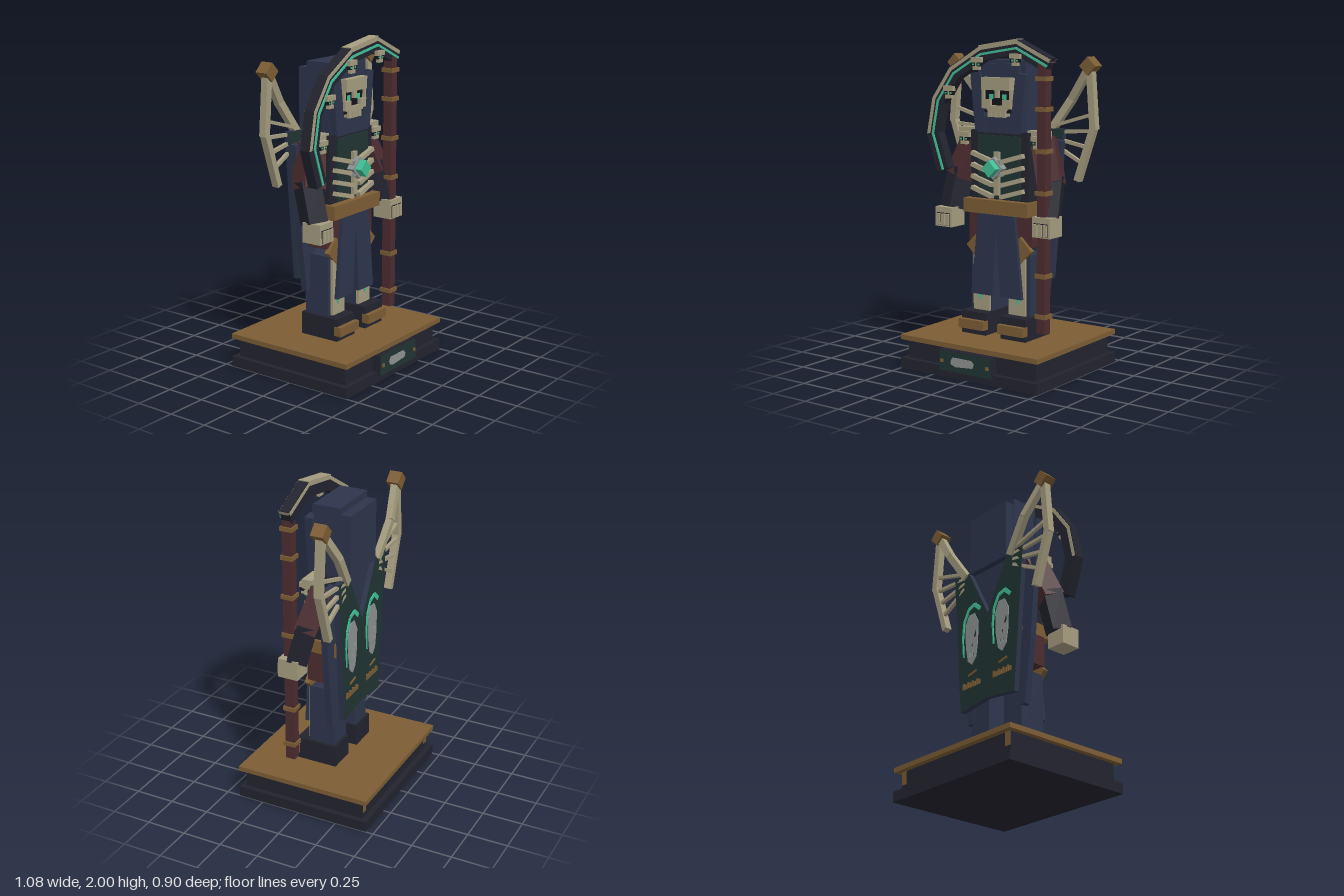
import * as THREE from 'three';

const mat = (name, color) => {
  const m = new THREE.MeshStandardMaterial({ color });
  m.name = name;
  return m;
};

export function createModel() {
  const navy = mat('navy cloth', 0x2d354c), dark = mat('dark metal', 0x23232f), green = mat('dark green cloth', 0x1f3432);
  const gold = mat('old gold', 0x7c5d34), bone = mat('bone', 0xa59d80), maroon = mat('maroon leather', 0x4c2c2f);
  const teal = mat('glowing teal', 0x40c096), grey = mat('pale grey', 0x8d9391), black = mat('black', 0x14151a);
  const root = new THREE.Group();
  root.name = 'reaperStatue';

  const add = (name, geo, material, parent = root) => {
    const m = new THREE.Mesh(geo, material);
    m.name = name;
    parent.add(m);
    return m;
  };
  // Box given by its limits on each axis
  const box = (name, material, x0, x1, y0, y1, z0, z1, parent = root) => {
    const m = add(name, new THREE.BoxGeometry(x1 - x0, y1 - y0, z1 - z0), material, parent);
    m.position.set((x0 + x1) / 2, (y0 + y1) / 2, (z0 + z1) / 2);
    return m;
  };
  // Square bar between two points
  const bar = (name, material, a, b, w, d, parent = root) => {
    const A = new THREE.Vector3(...a), B = new THREE.Vector3(...b), dir = B.clone().sub(A);
    const m = add(name, new THREE.BoxGeometry(w, dir.length(), d), material, parent);
    m.position.copy(A).add(B).multiplyScalar(0.5);
    m.quaternion.setFromUnitVectors(new THREE.Vector3(0, 1, 0), dir.normalize());
    return m;
  };
  // Flat panel cut from an outline, from z0 to z1
  const panel = (name, material, pts, z0, z1, parent = root, holes = []) => {
    const shape = new THREE.Shape(pts.map(p => new THREE.Vector2(...p)));
    holes.forEach(([x, y, rx, ry]) => shape.holes.push(new THREE.Path().absellipse(x, y, rx, ry, 0, Math.PI * 2)));
    const m = add(name, new THREE.ExtrudeGeometry(shape, { depth: z1 - z0, bevelEnabled: false, curveSegments: 8 }), material, parent);
    m.position.z = z0;
    return m;
  };
  // Small skull ornament facing the front
  const miniSkull = (name, x, y, z, w) => {
    const g = new THREE.Group();
    g.name = name;
    box('cranium', bone, -w / 2, w / 2, w * 0.1, w * 0.5, 0, 0.025, g);
    box('sockets', black, -w * 0.45, w * 0.45, -w * 0.2, w * 0.1, 0, 0.02, g);
    box('jaw', bone, -w * 0.3, w * 0.3, -w * 0.5, -w * 0.2, 0, 0.022, g);
    box('nose', bone, -w * 0.07, w * 0.07, -w * 0.2, w * 0.1, 0.001, 0.023, g);
    for (const s of [-1, 1]) box('eye', teal, s * w * 0.25 - w * 0.08, s * w * 0.25 + w * 0.08, -w * 0.12, w * 0.02, 0.015, 0.024, g);
    g.position.set(x, y, z);
    root.add(g);
  };

  // Plinth
  box('plinthFoot', dark, -0.5, 0.5, 0, 0.065, -0.45, 0.415);
  box('plinthBody', dark, -0.467, 0.467, 0.065, 0.18, -0.415, 0.38);
  box('plinthTop', gold, -0.5, 0.5, 0.18, 0.21, -0.45, 0.415);
  box('plaqueBacking', dark, -0.19, 0.19, 0.042, 0.17, 0.38, 0.432);
  box('plaque', green, -0.185, 0.185, 0.046, 0.166, 0.43, 0.437);
  for (const s of [-1, 1]) {
    box('plaqueStud', gold, s * 0.165 - 0.009, s * 0.165 + 0.009, 0.097, 0.115, 0.43, 0.446);
    box('cornerPost', gold, s * 0.445 - 0.02, s * 0.445 + 0.02, 0.1, 0.18, -0.417, -0.38);
  }
  panel('plaqueEmblem', grey, [[-0.1, 0.11], [-0.085, 0.135], [0.05, 0.135], [0.07, 0.115], [0.06, 0.09], [-0.06, 0.08], [-0.095, 0.09]], 0.436, 0.441);

  for (const s of [-1, 1]) {
    const b = (name, m, x0, x1, ...r) => box(name, m, Math.min(s * x0, s * x1), Math.max(s * x0, s * x1), ...r);
    // Boots and legs
    b('boot', dark, 0.055, 0.235, 0.21, 0.348, -0.115, 0.15);
    b('bootToe', gold, 0.052, 0.238, 0.245, 0.302, 0.13, 0.18);
    b('leg', navy, 0.065, 0.215, 0.348, 0.72, -0.1, 0.07);
    b('shin', bone, 0.072, 0.19, 0.35, 0.715, 0.07, 0.087);
    panel('shinRune', teal, [[s * 0.12, 0.455], [s * 0.155, 0.455], [s * 0.14, 0.41]].sort((p, q) => p[0] - q[0]), 0.086, 0.091);
    // Hip guards
    b('hipGuard', maroon, 0.1, 0.232, 0.77, 0.96, -0.065, 0.07);
    const d = b('hipDiamond', gold, 0.1, 0.215, 0.69, 0.805, 0.06, 0.092);
    d.rotation.z = Math.PI / 4;
    // Front skirt half and side robe
    panel('skirt', navy, [[0, 1], [s * 0.125, 1.02], [s * 0.185, 0.455], [s * 0.03, 0.455], [0, 0.87]], 0.095, 0.118);
    panel('sideRobe', navy, [[s * 0.16, 1.42], [s * 0.345, 1.4], [s * 0.3, 0.88], [s * 0.248, 0.49], [s * 0.2, 0.49], [s * 0.13, 1]], -0.105, -0.065);

    // Arms
    bar('upperArm', maroon, [s * 0.245, 1.4, -0.04], [s * 0.335, 1.15, 0.025], 0.13, 0.145);
    bar('forearm', dark, [s * 0.338, 1.2, 0.01], [s * 0.352, 0.96, 0.075], 0.122, 0.12);
    b('hand', bone, 0.295, 0.42, 0.855, 0.975, 0.04, 0.168);
    for (let i = -1; i <= 1; i++) {
      const x = 0.355 + i * 0.034;
      b('finger', bone, x - 0.012, x + 0.012, 0.865, 0.935, 0.16, 0.182);
      b('knuckleGap', dark, x - 0.015, x + 0.015, 0.862, 0.94, 0.165, 0.17);
    }
    b('shoulderPad', bone, 0.185, 0.318, 1.405, 1.462, -0.005, 0.058);
    miniSkull('shoulderSkull', s * 0.265, 1.395, 0.06, 0.075);

    // Ribs
    for (let i = 0; i < 4; i++) {
      const y = 1.28 - i * 0.07;
      bar('rib', bone, [s * 0.03, y - 0.01, 0.11], [s * 0.185, y + 0.035, 0.1], 0.026, 0.035);
    }

    // Hood flap
    panel('hoodFlap', navy, [[s * 0.2, 1.79], [s * 0.165, 1.45], [s * 0.085, 1.45], [s * 0.13, 1.8]], 0.05, 0.1);

    // Wing of bones with a gold tip
    const wing = new THREE.Group();
    wing.name = s > 0 ? 'leftWing' : 'rightWing';
    root.add(wing);
    const tip = [s * 0.485, 1.84, -0.155], bend = [s * 0.515, 1.47, -0.155], low = [s * 0.405, 1.16, -0.155], hub = [s * 0.2, 1.44, -0.17];
    bar('wingOuter', bone, tip, bend, 0.042, 0.045, wing);
    bar('wingLower', bone, [bend[0], 1.49, -0.155], low, 0.038, 0.045, wing);
    const mid = [s * 0.34, 1.64, -0.188];
    bar('wingArm', bone, hub, mid, 0.046, 0.04, wing);
    bar('wingArm', bone, mid, tip, 0.046, 0.04, wing);
    for (const [x, y] of [[0.505, 1.56], [0.512, 1.46], [0.475, 1.36], [0.44, 1.26]])
      bar('wingRib', bone, [s * 0.22, 1.42 + (y - 1.4) * 0.35, -0.165], [s * x, y, -0.16], 0.02, 0.022, wing);
    const cube = add('wingTip', new THREE.BoxGeometry(0.078, 0.078, 0.078), gold, wing);
    cube.position.set(...tip);
    cube.rotation.z = Math.PI / 4;
  }

  // Torso and belt
  box('torso', dark, -0.21, 0.21, 1.0, 1.45, -0.13, 0.08);
  box('chestPanel', green, -0.148, 0.155, 1.05, 1.425, 0.08, 0.094);
  box('backPanel', navy, -0.19, 0.19, 1.03, 1.46, -0.138, -0.125);
  box('belt', gold, -0.232, 0.232, 0.955, 1.04, -0.136, 0.13);
  box('sternum', bone, -0.018, 0.018, 1.07, 1.33, 0.09, 0.115);
  for (const a of [0, Math.PI / 4]) {
    const f = box('gemFrame', grey, -0.048, 0.048, 1.187, 1.283, 0.1, 0.14 + a * 0.01);
    f.rotation.z = a;
  }
  const gem = box('chestGem', teal, -0.036, 0.036, 1.199, 1.271, 0.12, 0.193);
  gem.rotation.z = Math.PI / 4;

  // Hood
  box('hood', navy, -0.172, 0.172, 1.43, 1.87, -0.115, 0.06);
  box('hoodBack', navy, -0.165, 0.165, 1.45, 1.83, -0.178, -0.11);
  box('hoodBrow', navy, -0.14, 0.14, 1.77, 1.85, 0.05, 0.082);
  box('hoodCollar', navy, -0.15, 0.15, 1.44, 1.54, 0.05, 0.095);

  // Skull face
  box('faceShadow', black, -0.098, 0.098, 1.56, 1.76, 0.05, 0.095);
  box('forehead', bone, -0.1, 0.1, 1.695, 1.77, 0.06, 0.125);
  box('noseBridge', bone, -0.014, 0.014, 1.65, 1.7, 0.06, 0.112);
  box('upperJaw', bone, -0.07, 0.07, 1.575, 1.605, 0.06, 0.115);
  for (const s of [-1, 1]) {
    box('cheek', bone, s * 0.075 - 0.03, s * 0.075 + 0.03, 1.585, 1.64, 0.06, 0.115);
    box('temple', bone, s * 0.1 - 0.008, s * 0.1 + 0.008, 1.6, 1.7, 0.06, 0.11);
    box('eye', teal, s * 0.047 - 0.015, s * 0.047 + 0.015, 1.64, 1.67, 0.09, 0.1);
  }
  for (let i = 0; i < 4; i++) box('tooth', bone, -0.063 + i * 0.033, -0.036 + i * 0.033, 1.535, 1.58, 0.06, 0.112);

  // Split cape: green faces, navy edges
  panel('cape', [green, navy], [[-0.31, 1.465], [-0.235, 0.55], [0, 0.58], [0.235, 0.55], [0.31, 1.465], [0.175, 1.46], [0, 1.13], [-0.175, 1.46]], -0.175, -0.142);
  for (const x of [-0.135, 0.135]) {
    const g = new THREE.Group();
    g.name = 'capeEmblem';
    g.position.set(x, 1.0, 0);
    root.add(g);
    panel('capeSkull', grey, [[-0.055, 0.1], [-0.02, 0.165], [0.03, 0.165], [0.06, 0.1], [0.055, -0.04], [0.035, -0.14], [0, -0.17], [-0.035, -0.13], [-0.05, -0.04]],
      -0.181, -0.174, g, [[-0.025, 0.03, 0.015, 0.03], [0.028, 0.03, 0.015, 0.03], [0, -0.04, 0.008, 0.018], [-0.012, -0.1, 0.005, 0.02], [0.014, -0.1, 0.005, 0.02]]);
    const arc = [[-0.07, 0.18], [-0.02, 0.225], [0.035, 0.205], [0.075, 0.13], [0.085, 0.02], [0.075, -0.1]];
    for (let i = 0; i < arc.length - 1; i++)
      bar('capeScythe', teal, [...arc[i], -0.178], [...arc[i + 1], -0.178], 0.026 - i * 0.004, 0.007, g);
    bar('capeStitch', gold, [-0.04, -0.22, -0.178], [0.03, -0.235, -0.178], 0.012, 0.007, g);
    for (let i = 0; i < 8; i++) box('capeStitch', gold, -0.075 + i * 0.02, -0.061 + i * 0.02, -0.315, -0.285 + (i % 2) * 0.01, -0.181, -0.174, g);
  }

  // Scythe staff with bands
  box('staff', maroon, 0.318, 0.374, 0.28, 1.86, 0.092, 0.152);
  for (const y of [0.383, 0.625, 0.869, 1.113, 1.357, 1.6, 1.775]) box('staffBand', gold, 0.308, 0.384, y - 0.013, y + 0.013, 0.083, 0.161);

  // Scythe blade: dark segments, bone spine and a teal line
  const path = [[0.385, 1.85], [0.17, 1.95], [-0.085, 1.91], [-0.29, 1.79], [-0.41, 1.62], [-0.45, 1.42], [-0.375, 1.2]];
  const at = (i, off) => {
    const p = path[i], a = path[Math.max(i - 1, 0)], c = path[Math.min(i + 1, path.length - 1)];
    const dx = c[0] - a[0], dy = c[1] - a[1], l = Math.hypot(dx, dy);
    return [p[0] + dy / l * off, p[1] - dx / l * off, 0.118];
  };
  const strip = (name, m, i, lo, hi, z0, z1) => {
    const q = [at(i, lo), at(i, hi), at(i + 1, hi), at(i + 1, lo)].map(p => [p[0], p[1]]);
    panel(name, m, q, z0, z1);
  };
  for (let i = 0; i < path.length - 1; i++) {
    strip('blade', dark, i, -0.045, i === 1 ? 0.02 : 0.045, 0.085, 0.15);
    strip('bladeLine', teal, i, -0.012, 0.002, 0.148, 0.157);
    if (i === 1) strip('bladeSpine', bone, i, 0.02, 0.05, 0.085, 0.152);
    else if (i < 5) strip('bladeSpine', bone, i, 0.018, 0.04, 0.081, 0.154);
  }
  miniSkull('bladeSkull', -0.105, 1.85, 0.15, 0.075);
  miniSkull('bladeSkull', 0.172, 1.878, 0.15, 0.07);
  miniSkull('bladeSkull', -0.312, 1.675, 0.15, 0.075);
  return root;
}
